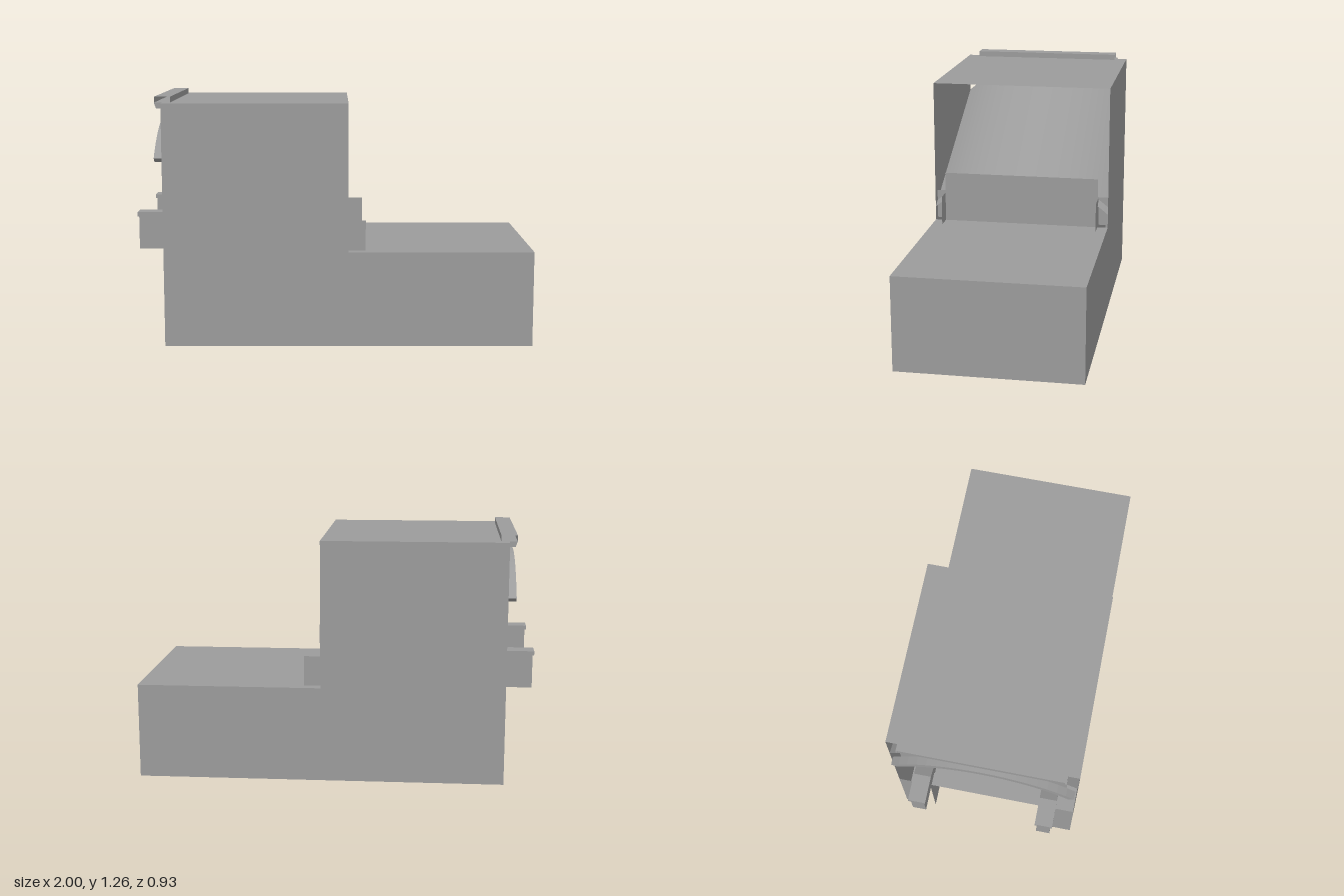
import * as THREE from 'three';

const X0 = -0.86, X1 = 0.067, W = 0.465, GROUND = 0.483, ROOF = 1.228;
const DROP = 0.465;                       // fall of stairs and vault from X0 to X1
const SLOPE = DROP / (X1 - X0);
const ARC_Y = 0.49;                       // centre height of the arches

export function createModel() {
  const group = new THREE.Group();
  const mat = new THREE.MeshStandardMaterial({ color: 0x9b9b9b, side: THREE.DoubleSide });
  const flat = mat.clone();
  flat.flatShading = true;

  const add = (name, geo, m = flat) => {
    const mesh = new THREE.Mesh(geo, m);
    mesh.name = name;
    group.add(mesh);
  };
  const shapeOf = pts => new THREE.Shape(pts.map(p => new THREE.Vector2(...p)));
  // profile in x,y extruded from za to zb
  const extrudeZ = (name, pts, za, zb) =>
    add(name, new THREE.ExtrudeGeometry(shapeOf(pts), { depth: zb - za, bevelEnabled: false })
      .translate(0, 0, za));
  // profile in z,y: flat at xa, or extruded from xa to xb
  const profileX = (name, pts, xa, xb = xa) => {
    const shape = shapeOf(pts.map(([z, y]) => [-z, y]));
    const geo = xb > xa ? new THREE.ExtrudeGeometry(shape, { depth: xb - xa, bevelEnabled: false })
      : new THREE.ShapeGeometry(shape);
    add(name, geo.rotateY(Math.PI / 2).translate(xa, 0, 0));
  };
  const rect = (za, zb, ya, yb) => [[za, ya], [zb, ya], [zb, yb], [za, yb]];
  // ruled strip through rows of point pairs
  const strip = (name, rows, smooth = false) => {
    let geo = new THREE.BufferGeometry();
    const idx = [];
    for (let a = 0; a < 2 * rows.length - 2; a += 2) idx.push(a, a + 1, a + 2, a + 2, a + 1, a + 3);
    geo.setAttribute('position', new THREE.Float32BufferAttribute(rows.flat(2), 3));
    geo.setIndex(idx);
    if (!smooth) geo = geo.toNonIndexed();
    geo.computeVertexNormals();
    add(name, geo, smooth ? mat : flat);
  };
  const alongX = (pts, xa, xb) => pts.map(([z, y]) => [[xa, y, z], [xb, y, z]]);
  const alongZ = (pts, za, zb) => pts.map(([x, y]) => [[x, y, zb], [x, y, za]]);
  // arc points [z, y] out to a half width
  const arc = (r, half, n) => Array.from({ length: n + 1 }, (_, i) => {
    const a = Math.asin(half / r) * (2 * i / n - 1);
    return [r * Math.sin(a), ARC_Y + r * Math.cos(a)];
  });

  // low block in front of the tall part
  add('base', new THREE.BoxGeometry(1 - X1, GROUND, 2 * W).translate((1 + X1) / 2, GROUND / 2, 0));

  // thin shell of the tall part, open at both ends
  strip('shell', alongX([[-W, 0], [-W, ROOF], [W, ROOF], [W, 0]], X0, X1));

  // sloping barrel vault over the stairs
  strip('vault', arc(0.705, W, 18).map(([z, y]) => [[X0, y, z], [X1, y - DROP, z]]), true);

  // spandrel above the entrance arch
  profileX('spandrel', [...arc(0.64, 0.41, 18), [0.41, 1.2], [-0.41, 1.2]], X0);

  // arch trim
  profileX('archTrim', [...arc(0.65, 0.455, 18), ...arc(0.615, 0.426, 18).reverse()], -0.9, X0);

  // open-ended cornice, sloped soffit and teeth
  strip('cornice', alongZ([[X0, ROOF], [-0.9, ROOF], [-0.9, 1.257], [-0.82, 1.257], [-0.82, ROOF]], -0.4, 0.4));
  strip('soffit', alongZ([[X0, 1.2], [-0.9, ROOF]], -0.41, 0.41));
  for (let i = 0; i < 6; i++) {
    const half = i === 0 || i === 5 ? 0.041 : 0.038;
    const z = (i - 2.5) * 0.147;
    extrudeZ('corniceTooth', [[X0, 1.2], [X0, ROOF], [-0.9, ROOF], [-0.89, 1.2]], z - half, z + half);
  }

  // folded stairs going down from the entrance
  const n = 14, steps = [];
  for (let i = 0; i < n; i++) {
    const y = GROUND * (1 - i / n);
    steps.push([X0 + (X1 - X0) * i / n, y], [X0 + (X1 - X0) * (i + 1) / n, y]);
  }
  strip('stairs', alongZ([...steps, [X1, 0]], -0.3, 0.3));

  const along = (x, y) => y - SLOPE * (x - X0);
  for (const s of [-1, 1]) {
    const zs = (a, b) => s > 0 ? [a, b] : [-b, -a];

    // hollow side wall of the stairwell and its end post
    strip('stairwellWall', alongX([[s * W, 0], [s * 0.36, 0], [s * 0.36, GROUND]], X0, X1));
    profileX('entrancePost', rect(...zs(0.36, W), 0, GROUND), X0);

    // parapet, cap and panel beside the stairs
    extrudeZ('parapet', [[-0.993, GROUND], [X0, GROUND], [X1, along(X1, GROUND)],
      [X1, along(X1, 0.65)], [X0, 0.65], [-0.993, 0.65]], ...zs(0.292, 0.362));
    extrudeZ('parapetCap', [[-1, 0.65], [X0, 0.65], [X1, along(X1, 0.65)],
      [X1, along(X1, 0.672)], [X0, 0.672], [-1, 0.672]], ...zs(0.283, 0.372));
    strip('stairSidePanel', [[X0, GROUND], [X1, along(X1, GROUND)]]
      .map(([x, y]) => [[x, 0, s * 0.3], [x, y, s * 0.3]]));

    // fin and return beside the low end of the vault
    strip('endFin', [0.02, 0.155].map(x => [[x, GROUND, s * 0.41], [x, 0.635, s * 0.41]]));
    profileX('endReturn', rect(...zs(0.41, W), GROUND, 0.635), 0.02);
  }

  // panel closing the low end of the vault
  profileX('endPanel', rect(-0.41, 0.41, GROUND, 0.745), X1);

  return group;
}
